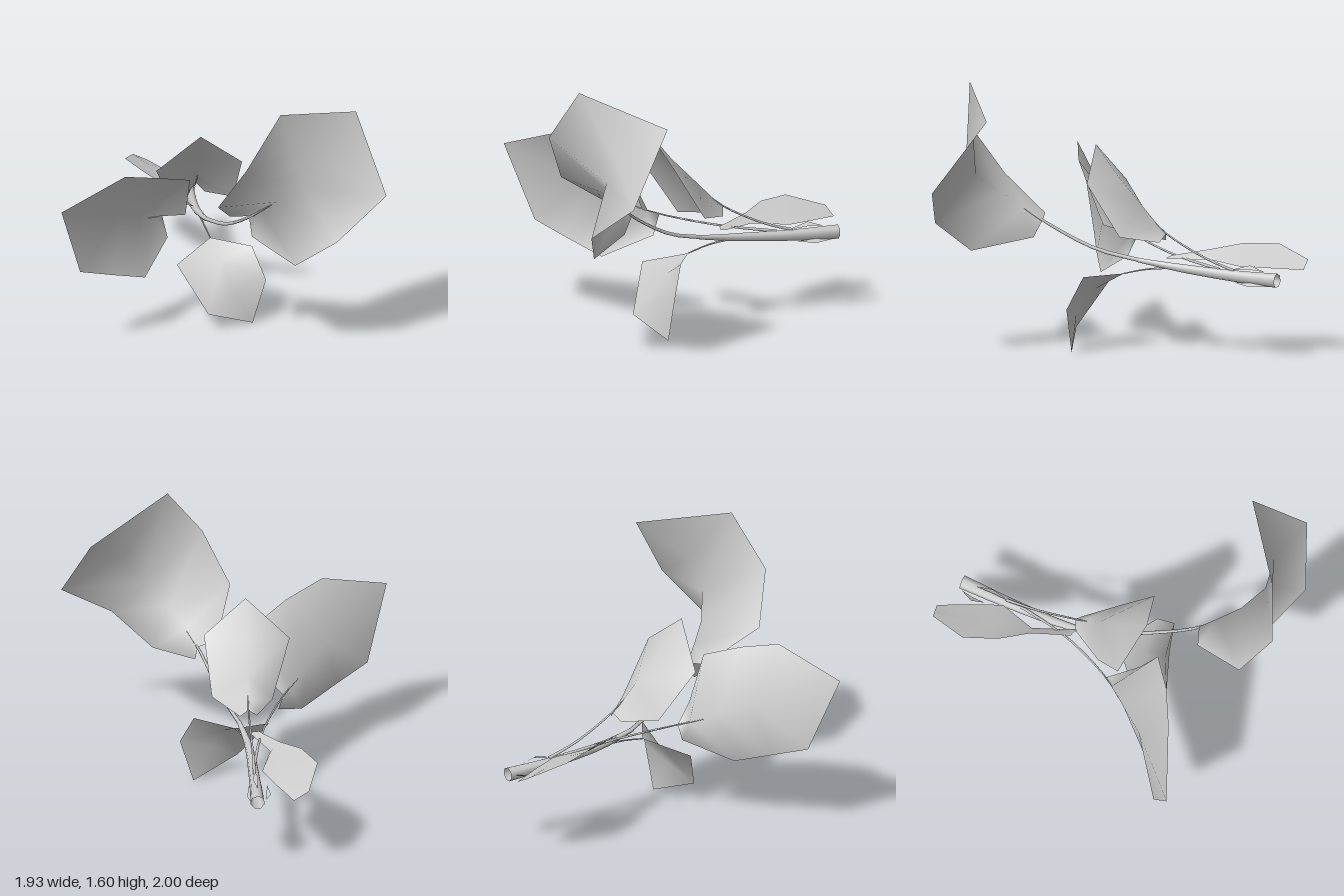
import * as THREE from 'three';

const material = new THREE.MeshStandardMaterial({ color: 0xcccccc, side: THREE.DoubleSide });

// Leaf blade: base, rows of [left edge, midrib, right edge], tip
function leaf(name, base, rows, tip) {
  const points = [base, ...rows.flat(), tip];
  const index = [];
  const last = points.length - 1;
  for (let c = 0; c < 2; c++) {
    index.push(0, 1 + c, 2 + c);
    for (let r = 0; r < rows.length - 1; r++) {
      const a = 1 + r * 3 + c, b = a + 3;
      // diagonals mirror across the midrib
      if (c === 0) index.push(a, b, a + 1, b, b + 1, a + 1);
      else index.push(a, b, b + 1, a, b + 1, a + 1);
    }
    const e = last - 3 + c;
    index.push(e, last, e + 1);
  }
  const geo = new THREE.BufferGeometry();
  geo.setAttribute('position', new THREE.Float32BufferAttribute(points.flat(), 3));
  geo.setIndex(index);
  geo.computeVertexNormals();
  const mesh = new THREE.Mesh(geo, material);
  mesh.name = name;
  return mesh;
}

// Tapered tube through points; radii are given per point
function stem(name, pts, radii, sides = 5) {
  const curve = new THREE.CatmullRomCurve3(pts.map(p => new THREE.Vector3(...p)));
  const steps = (pts.length - 1) * 3;
  const geo = new THREE.TubeGeometry(curve, steps, 1, sides, false);
  const pos = geo.attributes.position;
  const v = new THREE.Vector3();
  for (let i = 0; i <= steps; i++) {
    const t = i / steps;
    // ring centres follow the tube's arc-length sampling
    const centre = curve.getPointAt(t);
    const k = t * (radii.length - 1), j = Math.min(Math.floor(k), radii.length - 2);
    const r = THREE.MathUtils.lerp(radii[j], radii[j + 1], k - j);
    for (let s = 0; s <= sides; s++) {
      const n = i * (sides + 1) + s;
      v.fromBufferAttribute(pos, n).sub(centre).multiplyScalar(r).add(centre);
      pos.setXYZ(n, v.x, v.y, v.z);
    }
  }
  const mesh = new THREE.Mesh(geo, material);
  mesh.name = name;
  return mesh;
}

export function createModel() {
  const group = new THREE.Group();
  group.name = 'leafySprig';

  // Main branch, hollow at the cut end
  group.add(stem('branch',
    [[-0.137, 0.49, -0.94], [-0.13, 0.497, -0.65], [-0.105, 0.525, -0.25], [-0.06, 0.555, -0.03]],
    [0.043, 0.034, 0.026, 0.013], 7));

  // Leaf stalks
  group.add(
    stem('leftStalk', [[-0.13, 0.53, -0.55], [-0.19, 0.58, -0.22], [-0.33, 0.65, 0.12], [-0.42, 0.69, 0.25]],
      [0.01, 0.007, 0.006, 0.003]),
    stem('rightStalk', [[-0.06, 0.555, -0.04], [0.04, 0.62, 0.2], [0.165, 0.785, 0.49], [0.29, 0.93, 0.65]],
      [0.013, 0.011, 0.009, 0.003]),
    stem('upperStalk', [[-0.13, 0.53, -0.65], [-0.125, 0.59, -0.46], [-0.11, 0.72, -0.2], [-0.11, 0.81, -0.09]],
      [0.01, 0.007, 0.006, 0.003]),
    stem('lowerStalk', [[-0.1, 0.52, -0.25], [-0.07, 0.5, -0.08], [-0.04, 0.47, 0.05]],
      [0.008, 0.005, 0.004]));

  // Big right leaf, twisted upward
  group.add(leaf('rightLeaf', [0.165, 0.79, 0.485], [
    [[0.05, 0.81, 0.535], [0.23, 0.87, 0.57], [0.18, 0.68, 0.54]],
    [[-0.04, 1.01, 0.86], [0.33, 0.96, 0.68], [0.42, 0.61, 0.83]],
    [[0.12, 1.3, 1.0], [0.47, 1.08, 0.77], [0.66, 0.8, 0.94]],
    [[0.33, 1.61, 0.89], [0.6, 1.25, 0.76], [0.965, 1.03, 0.79]]
  ], [0.8, 1.46, 0.51]));

  // Big left leaf
  group.add(leaf('leftLeaf', [-0.33, 0.65, 0.12], [
    [[-0.2, 0.72, 0.28], [-0.37, 0.67, 0.18], [-0.3, 0.53, 0.17]],
    [[-0.18, 0.99, 0.39], [-0.47, 0.73, 0.31], [-0.45, 0.39, 0.44]],
    [[-0.36, 1.07, 0.54], [-0.6, 0.81, 0.48], [-0.65, 0.47, 0.58]],
    [[-0.58, 1.14, 0.67], [-0.77, 0.89, 0.66], [-0.85, 0.55, 0.71]]
  ], [-0.97, 1.0, 0.86]));

  // Upright middle leaf
  group.add(leaf('upperLeaf', [-0.11, 0.72, -0.2], [
    [[-0.16, 0.67, -0.17], [-0.11, 0.76, -0.15], [-0.06, 0.67, -0.18]],
    [[-0.26, 0.67, 0.03], [-0.11, 0.87, -0.04], [0.1, 0.71, 0.0]],
    [[-0.37, 0.98, 0.22], [-0.11, 1.04, 0.13], [0.14, 1.02, 0.2]]
  ], [-0.11, 1.22, 0.28]));

  // Hanging lower leaf
  group.add(leaf('lowerLeaf', [-0.04, 0.47, 0.05], [
    [[0.2, 0.47, 0.19], [0.02, 0.38, 0.2], [-0.25, 0.39, 0.26]],
    [[0.28, 0.28, 0.26], [0.09, 0.22, 0.3], [-0.07, 0.12, 0.39]]
  ], [0.2, 0.01, 0.27]));

  // Flat leaf lying back along the branch
  group.add(leaf('backLeaf', [-0.12, 0.57, -0.19], [
    [[-0.17, 0.58, -0.2], [-0.15, 0.575, -0.22], [-0.13, 0.565, -0.22]],
    [[-0.28, 0.62, -0.41], [-0.25, 0.59, -0.42], [-0.23, 0.565, -0.43]],
    [[-0.41, 0.65, -0.56], [-0.29, 0.59, -0.61], [-0.175, 0.55, -0.65]],
    [[-0.5, 0.65, -0.75], [-0.36, 0.59, -0.79], [-0.26, 0.54, -0.83]],
    [[-0.44, 0.58, -0.98], [-0.4, 0.56, -0.97], [-0.35, 0.53, -1.0]]
  ], [-0.395, 0.555, -0.99]));

  // Small bud scales near the cut end
  const scales = [
    [[-0.19, 0.5, -0.92], [-0.205, 0.48, -0.84], [-0.2, 0.51, -0.76]],
    [[-0.11, 0.455, -0.9], [-0.095, 0.455, -0.78], [-0.095, 0.465, -0.67]],
    [[-0.14, 0.535, -0.85], [-0.13, 0.555, -0.75], [-0.13, 0.53, -0.62]]
  ];
  for (const [base, mid, tip] of scales) {
    group.add(leaf('budScale', base,
      [[[mid[0] - 0.015, mid[1] + 0.012, mid[2]], mid, [mid[0] + 0.015, mid[1] - 0.008, mid[2]]]], tip));
  }
  return group;
}
